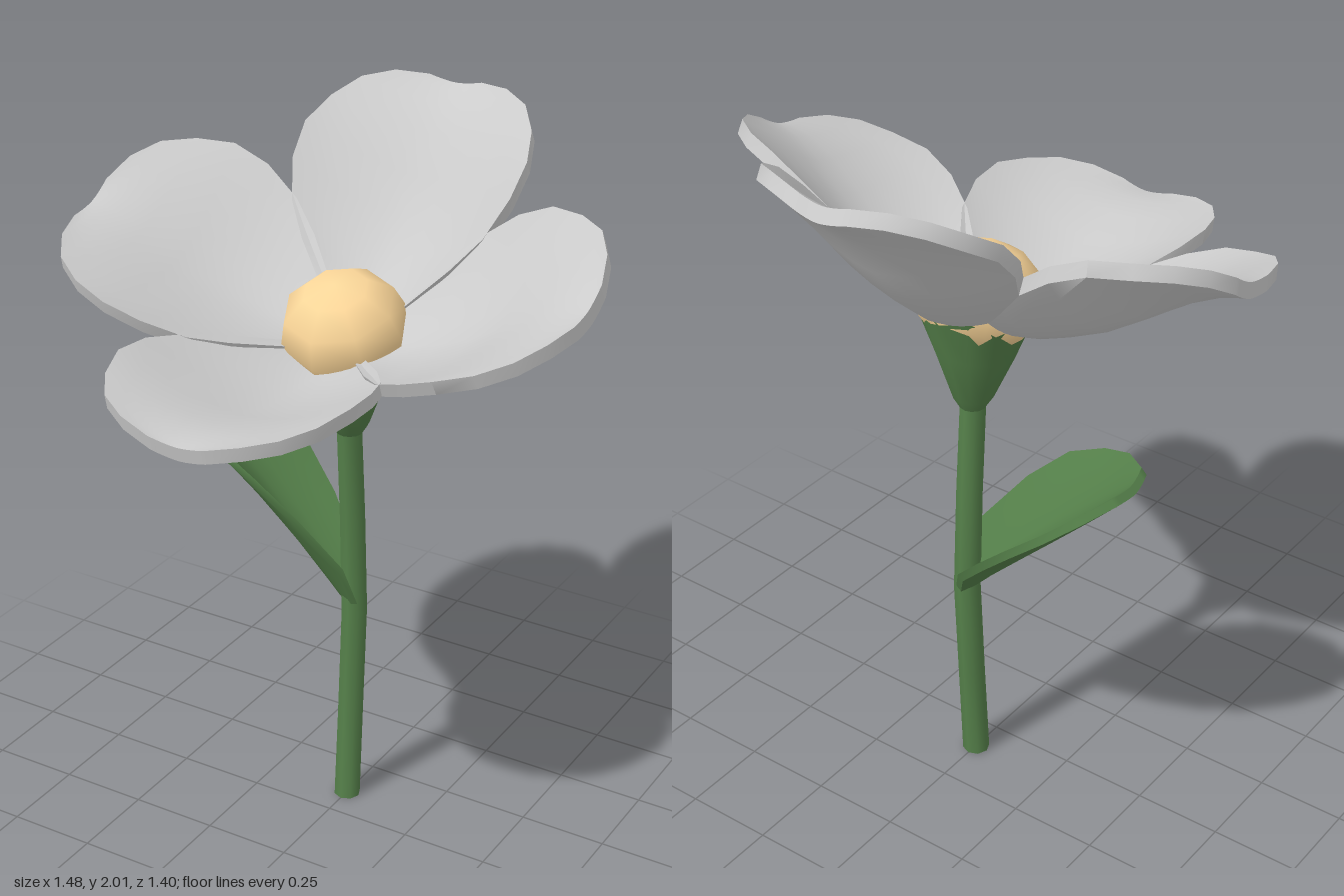
import * as THREE from 'three';
import { toCreasedNormals } from 'three/addons/utils/BufferGeometryUtils.js';

const V = (x, y, z) => new THREE.Vector3(x, y, z);
const green = new THREE.MeshStandardMaterial({ color: 0x55804a, side: THREE.DoubleSide });
const grey = new THREE.MeshStandardMaterial({ color: 0xcccccc });
const yellow = new THREE.MeshStandardMaterial({ color: 0xfad598 });

// Skin a list of closed rings (equal, even point counts), with optional end caps
function loft(rings, capped = true) {
  const n = rings[0].length, last = rings.length - 1, index = [];
  for (let i = 0; i < last; i++) {
    for (let j = 0; j < n; j++) {
      const k = (j + 1) % n;
      const a = i * n + j, b = i * n + k, c = b + n, d = a + n;
      index.push(a, c, b, a, d, c);
    }
  }
  if (capped) {
    for (let j = 0; j < n / 2 - 1; j++) {
      const p = j, q = j + 1, r = n - 2 - j, s = n - 1 - j, e = last * n;
      index.push(p, q, r, p, r, s);
      index.push(e + p, e + r, e + q, e + p, e + s, e + r);
    }
  }
  const geometry = new THREE.BufferGeometry().setFromPoints(rings.flat());
  geometry.setIndex(index);
  return toCreasedNormals(geometry, 1.0);
}

// Ring around a thin curved blade: top from s = -1 to 1, underside back again
function bladeRing(point, cols, under) {
  const top = [], bottom = [];
  for (let c = 0; c <= cols; c++) {
    const s = (c / cols) * 2 - 1;
    const p = point(s);
    top.push(p);
    bottom.unshift(p.clone().add(under));
  }
  return [...top, ...bottom];
}

function addMesh(parent, name, geometry, material) {
  const mesh = new THREE.Mesh(geometry, material);
  mesh.name = name;
  parent.add(mesh);
  return mesh;
}

// Petal rows: distance from centre, half width, midline height, rise of the edge
const PETAL = [
  [0.02, 0.06, 0.0, 0.0], [0.11, 0.13, 0.015, 0.05], [0.2, 0.225, 0.035, 0.1],
  [0.28, 0.29, 0.065, 0.125], [0.38, 0.33, 0.11, 0.145], [0.48, 0.337, 0.175, 0.125],
  [0.58, 0.305, 0.245, 0.075], [0.66, 0.25, 0.285, 0.05], [0.71, 0.17, 0.3, 0.035],
  [0.735, 0.08, 0.305, 0.015],
];

function petalGeometry() {
  const under = V(0, -0.04, 0.006);
  return loft(PETAL.map(([r, w, h, lift]) =>
    bladeRing((s) => V(s * w, h + lift * Math.abs(s) ** 1.6, r), 10, under)));
}

// Leaf rows: midline x, y, z, half width, rise of the front edge
const LEAF = [
  [0.005, 0.61, -0.14, 0.03, 0.03], [-0.07, 0.69, -0.14, 0.095, 0.12],
  [-0.2, 0.82, -0.15, 0.16, 0.145], [-0.31, 0.93, -0.155, 0.195, 0.14],
  [-0.4, 1.02, -0.155, 0.185, 0.1], [-0.47, 1.09, -0.15, 0.145, 0.06],
  [-0.52, 1.14, -0.145, 0.075, 0.02],
];

function leafGeometry() {
  const under = V(-0.016, -0.016, 0);
  return loft(LEAF.map(([x, y, z, w, rise]) =>
    bladeRing((s) => {
      const lift = (s > 0 ? rise : 0.3 * rise) * Math.abs(s) ** 1.5 * 0.71;
      return V(x + lift, y + lift, z + s * w);
    }, 8, under)));
}

// Round ring centred on the stem, leaning forward by tilt, with an optional zigzag
function roundRing(y, z, radius, tilt, sides, zigzag = 0) {
  return Array.from({ length: sides }, (_, i) => {
    const a = (i / sides) * Math.PI * 2;
    return V(Math.cos(a) * radius, i % 2 ? -zigzag : zigzag, Math.sin(a) * radius)
      .applyAxisAngle(V(1, 0, 0), tilt).add(V(0, y, z));
  });
}

export function createModel() {
  const flower = new THREE.Group();
  flower.name = 'flower';

  // Gently bowed stem
  const stem = [
    [0, -0.1, 0.038], [0.3, -0.118, 0.037], [0.6, -0.135, 0.037],
    [0.9, -0.122, 0.036], [1.22, -0.1, 0.035],
  ].map(([y, z, r]) => roundRing(y, z, r, 0, 8));
  addMesh(flower, 'stem', loft(stem), green);

  addMesh(flower, 'leaf', leafGeometry(), green);

  // Cup under the petals, bending forward as it opens
  addMesh(flower, 'calyx', loft([
    roundRing(1.17, -0.104, 0.036, 0, 12),
    roundRing(1.2, -0.104, 0.055, 0.08, 12),
    roundRing(1.33, -0.098, 0.108, 0.22, 12),
    roundRing(1.44, -0.1, 0.146, 0.32, 12, 0.012),
  ], false), green);

  // Flower head leaning forward
  const head = new THREE.Group();
  head.name = 'flowerHead';
  head.position.set(0, 1.44, -0.09);
  head.rotation.x = THREE.MathUtils.degToRad(21);
  flower.add(head);

  const petal = petalGeometry();
  ['frontPetal', 'leftPetal', 'backPetal', 'rightPetal'].forEach((name, i) => {
    addMesh(head, name, petal, grey).rotation.y = i * Math.PI / 2;
  });

  const centre = addMesh(head, 'flowerCentre', new THREE.SphereGeometry(0.175, 8, 6), yellow);
  centre.scale.y = 0.85;
  centre.position.y = 0.05;

  return flower;
}
